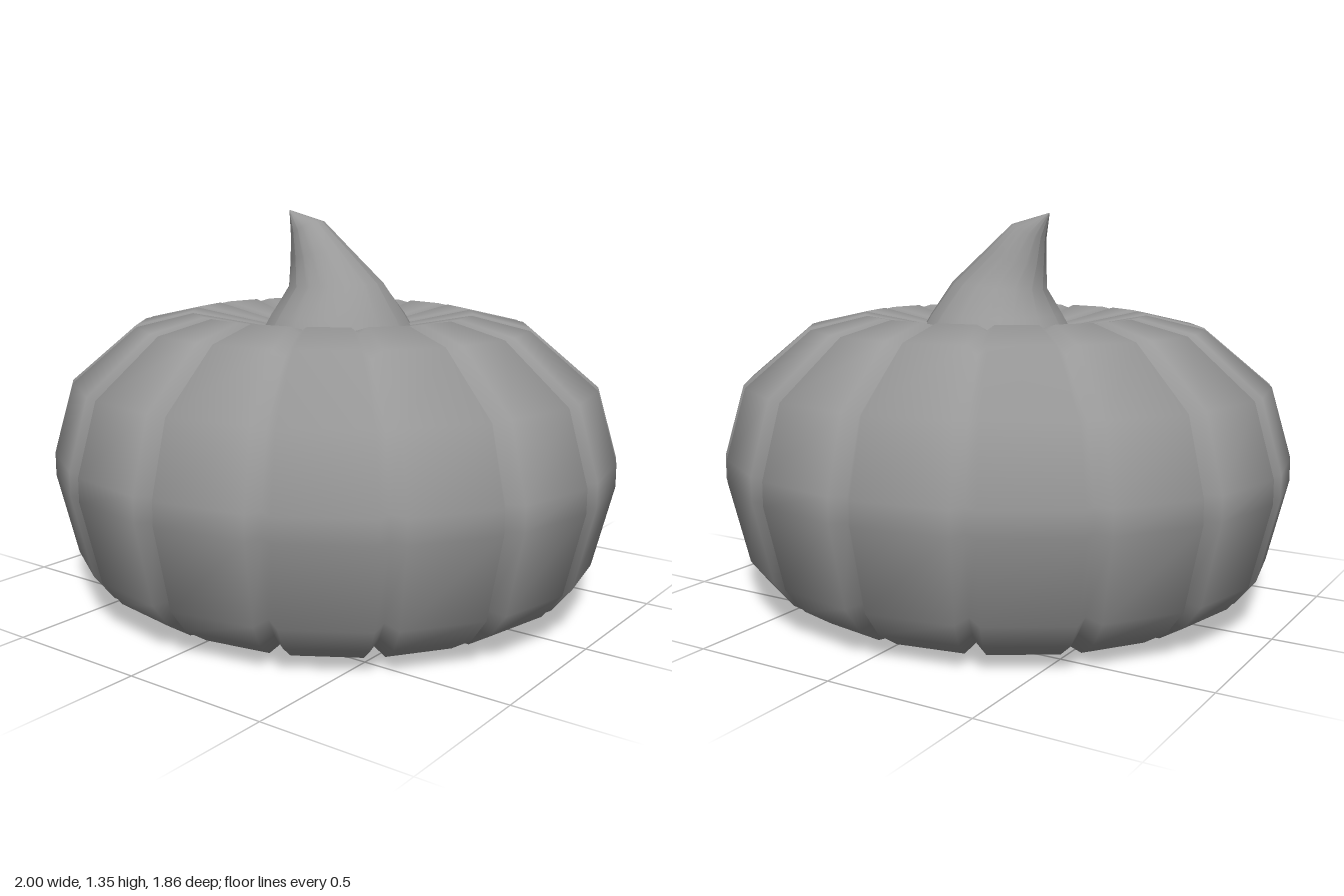
import * as THREE from 'three';

const RIBS = 16;

// Step from p to q, with long steps damped so that short ones count in a normal
function step(p, q) {
  const d = q.clone().sub(p);
  return d.setLength(Math.pow(d.length(), 0.25));
}

// Skin a list of closed rings, ordered from bottom to top, with soft normals
function loft(rings, material, name) {
  const n = rings[0].length;
  const index = [];
  const normals = [];
  rings.forEach((ring, j) => {
    ring.forEach((p, i) => {
      const k = (i + 1) % n;
      const around = step(ring[(i + n - 1) % n], p).add(step(p, ring[k]));
      const along = new THREE.Vector3();
      if (j > 0) along.add(step(rings[j - 1][i], p));
      if (j < rings.length - 1) {
        along.add(step(p, rings[j + 1][i]));
        const a = j * n + i, b = j * n + k, c = b + n, d = a + n;
        index.push(a, b, c, a, c, d);
      }
      normals.push(...around.cross(along).normalize().toArray());
    });
  });
  const geometry = new THREE.BufferGeometry().setFromPoints(rings.flat());
  geometry.setIndex(index);
  geometry.setAttribute('normal', new THREE.Float32BufferAttribute(normals, 3));
  const mesh = new THREE.Mesh(geometry, material);
  mesh.name = name;
  return mesh;
}

// Ribbed shell: each rib is a flat panel ending in two sharp little grooves
function createBody(material) {
  // radius, height, groove inset in radius, groove inset in height
  const profile = [
    [0.001, 0.02, 0, 0], [0.3, 0.015, 0, 0], [0.58, 0, 0.01, 0.025],
    [0.76, 0.025, 0.02, 0.03], [0.86, 0.085, 0.035, 0.025], [0.93, 0.17, 0.04, 0.015],
    [1, 0.45, 0.045, 0], [1, 0.53, 0.045, 0], [0.93, 0.77, 0.042, -0.012],
    [0.7, 0.96, 0.02, -0.03], [0.5, 1.005, 0.005, -0.02], [0.3, 0.968, 0, -0.01],
    [0.15, 0.94, 0, 0], [0.001, 0.92, 0, 0],
  ];
  const rings = profile.map(([r, y, dr, dy]) => {
    const ring = [];
    const half = Math.min(0.09, 0.025 + 0.015 / r);
    for (let i = 0; i < RIBS; i++) {
      for (const side of [-1, 0, 1]) {
        const a = (i / RIBS) * Math.PI * 2 + side * half;
        const groove = side === 0 ? 1 : 0;
        const rad = r - dr * groove;
        ring.push(new THREE.Vector3(
          Math.sin(a) * rad, y + dy * groove, Math.cos(a) * rad * 0.933));
      }
    }
    return ring;
  });
  return loft(rings, material, 'ribbedBody');
}

// Fluted stalk leaning to one side and closing in a slanted point
function createStem(material) {
  // centre x, centre y, centre z, radius x, radius z, rise towards +x, flute depth
  const sections = [
    [0.045, 0.93, 0.02, 0.275, 0.27, 0, 0.06],
    [0.045, 1.0, 0.022, 0.235, 0.23, 0, 0.08],
    [0.035, 1.1, 0.024, 0.175, 0.145, 0.01, 0.12],
    [-0.03, 1.2, 0.027, 0.112, 0.09, 0.025, 0.15],
    [-0.082, 1.29, 0.03, 0.062, 0.055, 0.025, 0.18],
    [-0.16, 1.35, 0.03, 0.002, 0.002, 0, 0.18],
  ];
  const n = RIBS * 2;
  const rings = sections.map(([x, y, z, rx, rz, rise, depth]) =>
    Array.from({ length: n }, (_, i) => {
      const a = (i / n) * Math.PI * 2;
      const f = i % 2 ? 1 - depth : 1;
      return new THREE.Vector3(
        x + Math.sin(a) * rx * f, y + Math.sin(a) * rise, z + Math.cos(a) * rz * f);
    }));
  return loft(rings, material, 'stem');
}

export function createModel() {
  const group = new THREE.Group();
  group.name = 'pumpkin';
  const material = new THREE.MeshStandardMaterial({ color: 0x999999 });
  group.add(createBody(material), createStem(material));
  return group;
}
